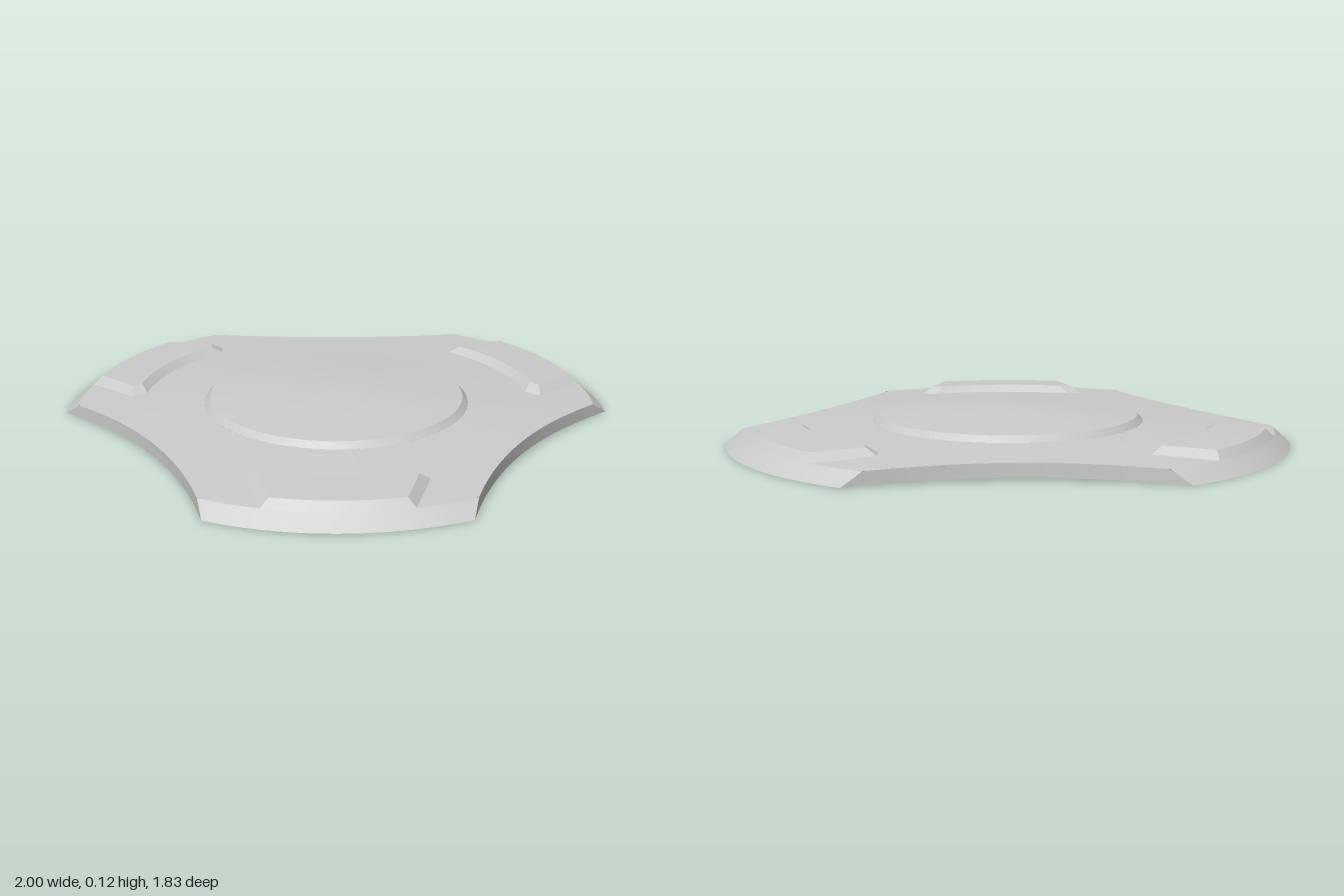
import * as THREE from 'three';
import { mergeGeometries, toCreasedNormals } from 'three/addons/utils/BufferGeometryUtils.js';

const DEG = Math.PI / 180;
const HUB = 0.48, BEVEL = 0.945, CORNER = 26.23;

// plan radius of the outline; angle in degrees from the middle of a lobe
function outline(angle) {
  const phi = (60 - Math.abs(angle > 60 ? 120 - angle : angle)) * DEG;
  const c = Math.cos(phi), s = Math.sin(phi);
  const disc = c * c - 4 * 0.745 * 0.28 * s * s;
  return disc < 0 ? 1 : Math.min(1, (2 * 0.745) / (c + Math.sqrt(disc)));
}

// height of the shell: shallow cone, then a steep bevel at the lobe ends
const coneY = (r) => 0.075 - 0.057 * (r - HUB);
const shellY = (r) => Math.min(coneY(r), Math.max(0, coneY(BEVEL) * (1 - r) / (1 - BEVEL)));

function at(angle, r, y = shellY(r)) {
  return [r * Math.sin(angle * DEG), y, r * Math.cos(angle * DEG)];
}

function range(a, b, n) {
  return Array.from({ length: n + 1 }, (_, i) => a + ((b - a) * i) / n);
}

// surface between two equally long rows of points (inner row first)
function strip(inner, outer) {
  const n = inner.length, index = [];
  for (let i = 0; i < n - 1; i++) {
    index.push(i, n + i, n + i + 1, i, n + i + 1, i + 1);
  }
  const g = new THREE.BufferGeometry();
  g.setAttribute('position', new THREE.Float32BufferAttribute([...inner, ...outer].flat(), 3));
  g.setIndex(index);
  g.computeVertexNormals();
  return g;
}

export function createModel() {
  const group = new THREE.Group();
  const material = new THREE.MeshStandardMaterial({ color: 0xcccccc, side: THREE.DoubleSide });
  const add = (parent, name, geometry) => {
    const mesh = new THREE.Mesh(geometry, material);
    mesh.name = name;
    parent.add(mesh);
  };

  // rows of points around the raised pad
  const N = 24;
  const arc = (a, r, y) => range(-a, a, N).map((t) => at(t, r, y));
  const baseInner = [at(-24, 0.76), ...arc(21.2, 0.71), at(24, 0.76)];
  const topInner = [at(-20.7, 0.764, 0.085), ...arc(18.5, 0.738, 0.086), at(20.7, 0.764, 0.085)];
  const topOuter = range(-14.2, 14.2, N + 2).map((t) => at(t, 0.917, 0.078));
  const baseOuter = range(-15.5, 15.5, N + 2).map((t) => at(t, BEVEL));
  const last = N + 2;

  // shell beside the pad, from the pad flank to the concave edge
  const flankInner = range(24, 60, 48).map((t) => at(t, Math.min(outline(t), 0.76)));
  const flankOuter = range(15.5, 60, 48).map((t) => at(t, Math.min(outline(t), BEVEL)));
  const mirrored = (row) => row.map(([x, y, z]) => [-x, y, z]).reverse();

  // shell between the hub and the pad
  const rim = [...mirrored(flankInner).slice(0, -1), ...baseInner, ...flankInner.slice(1)];
  const hubEdge = rim.map(([x, , z]) => at(Math.atan2(x, z) / DEG, HUB));

  // lobe-end bevel beside and below the pad
  const bevelAngles = [...range(-29.1, -CORNER, 6), ...range(-CORNER, CORNER, 48).slice(1, -1),
    ...range(CORNER, 29.1, 6)];

  // concave side wall between this lobe and the next
  const wallAngles = range(CORNER, 120 - CORNER, 64);

  const parts = {
    topShell: mergeGeometries([
      strip(hubEdge, rim),
      strip(flankInner, flankOuter),
      strip(mirrored(flankInner), mirrored(flankOuter)),
    ]),
    lobeBevel: strip(
      bevelAngles.map((t) => at(t, Math.min(BEVEL, outline(t)))),
      bevelAngles.map((t) => at(t, outline(t)))),
    sideWall: strip(
      wallAngles.map((t) => at(t, outline(t))),
      wallAngles.map((t) => at(t, outline(t),
        0.012 * Math.cos(((t - 60) / (60 - CORNER)) * Math.PI / 2)))),
    padTop: strip(topInner, topOuter),
    padOuterFace: strip(topOuter, baseOuter),
    padWalls: toCreasedNormals(mergeGeometries([
      strip(topInner, baseInner),
      strip([topOuter[0], topInner[0]], [baseOuter[0], baseInner[0]]),
      strip([topInner[last], topOuter[last]], [baseInner[last], baseOuter[last]]),
    ]), 0.4),
  };

  // three identical lobes around the hub
  const body = new THREE.Group();
  body.name = 'body';
  body.position.z = -0.085;
  for (let i = 0; i < 3; i++) {
    const lobe = new THREE.Group();
    lobe.name = `lobe${i + 1}`;
    lobe.rotation.y = i * 120 * DEG;
    for (const [name, geometry] of Object.entries(parts)) add(lobe, name, geometry);
    body.add(lobe);
  }

  // domed central disc with a bevelled edge
  const profile = [[HUB, 0.075], [0.46, 0.097], [0.24, 0.113], [0, 0.125]]
    .map(([x, y]) => new THREE.Vector2(x, y));
  add(body, 'centralDisc', toCreasedNormals(new THREE.LatheGeometry(profile, 72), 0.4));

  group.add(body);
  return group;
}
